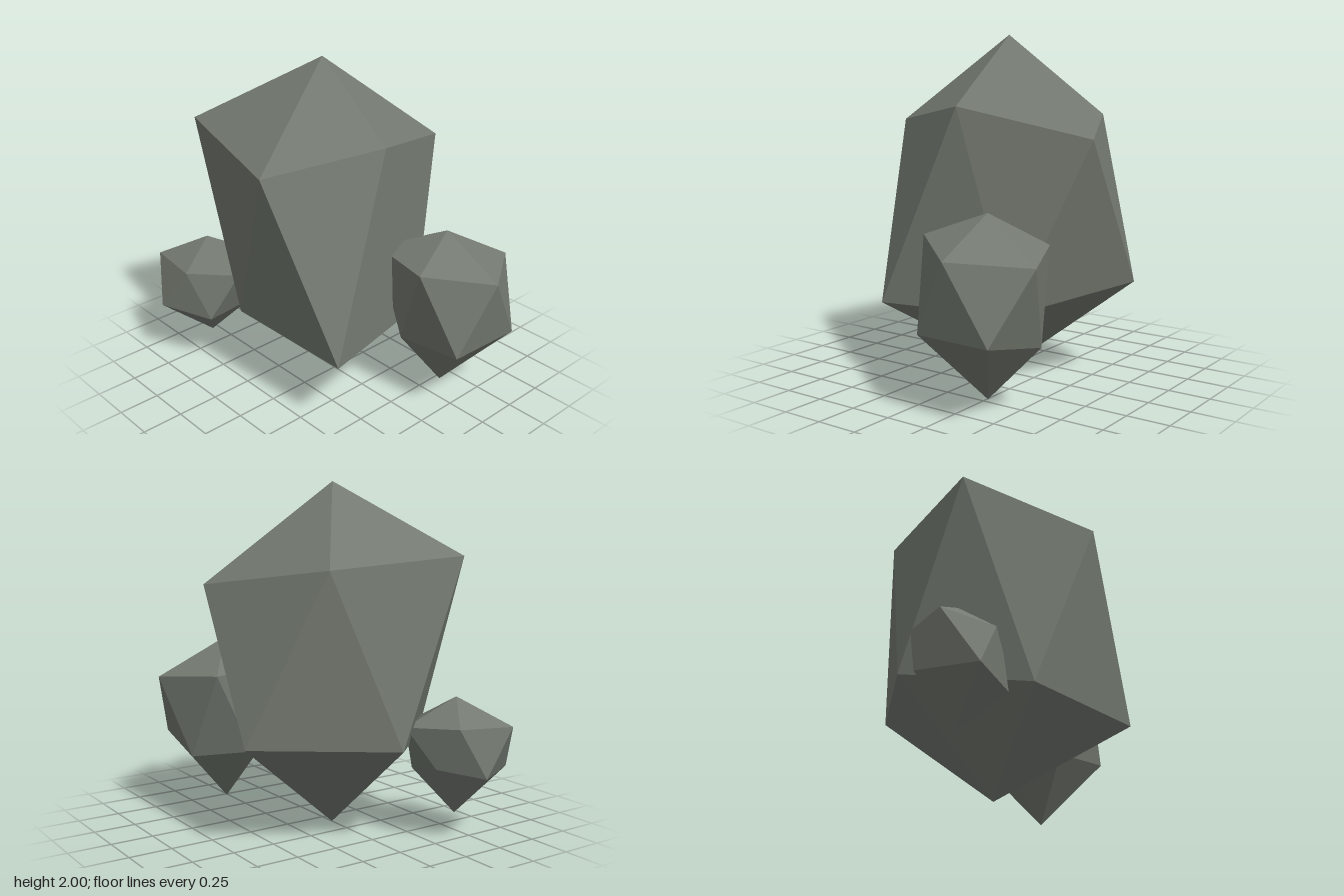
import * as THREE from 'three';

// A faceted stone: two tips joined by two five-sided rings, the lower ring
// turned half a step. Each ring entry is [radius, height], 72 degrees apart.
function stone(name, material, x, z, top, bottom, upper, lower) {
  const ring = (entries, turn) => entries.map(([r, y], i) => {
    const a = (i + turn) * Math.PI * 2 / 5;
    return new THREE.Vector3(r * Math.cos(a), y, r * Math.sin(a));
  });
  const u = ring(upper, 0);
  const l = ring(lower, 0.5);
  const tip = new THREE.Vector3(0, top, 0);
  const foot = new THREE.Vector3(0, bottom, 0);
  const corners = [];
  for (let i = 0; i < 5; i++) {
    const j = (i + 1) % 5;
    corners.push(tip, u[j], u[i]); // cap
    corners.push(u[i], u[j], l[i], l[i], u[j], l[j]); // sides
    corners.push(l[i], l[j], foot); // base
  }
  const geometry = new THREE.BufferGeometry().setFromPoints(corners);
  geometry.computeVertexNormals();
  const mesh = new THREE.Mesh(geometry, material);
  mesh.name = name;
  mesh.position.set(x, 0, z);
  return mesh;
}

export function createModel() {
  const group = new THREE.Group();
  group.name = 'rockCluster';
  const rock = new THREE.MeshStandardMaterial({ color: 0x747a71, flatShading: true });
  rock.name = 'greyGreenStone';

  group.add(
    stone('mainRock', rock, -0.1, 0, 2, 0,
      [[0.51, 1.6], [0.66, 1.5], [0.765, 1.59], [0.606, 1.53], [0.747, 1.43]],
      [[0.78, 0.46], [0.54, 0.5], [0.67, 0.56], [0.76, 0.58], [0.572, 0.46]]),
    stone('leftRock', rock, 0.58, -0.34, 1.06, 0.05,
      [[0.385, 0.86], [0.36, 0.93], [0.4, 0.92], [0.35, 0.87], [0.41, 0.83]],
      [[0.385, 0.44], [0.28, 0.42], [0.33, 0.4], [0.295, 0.36], [0.41, 0.44]]),
    stone('rightRock', rock, -0.71, 0.42, 0.81, 0.14,
      [[0.31, 0.65], [0.23, 0.65], [0.32, 0.66], [0.235, 0.67], [0.3, 0.65]],
      [[0.26, 0.36], [0.315, 0.39], [0.26, 0.39], [0.2, 0.43], [0.25, 0.38]]),
  );
  return group;
}
